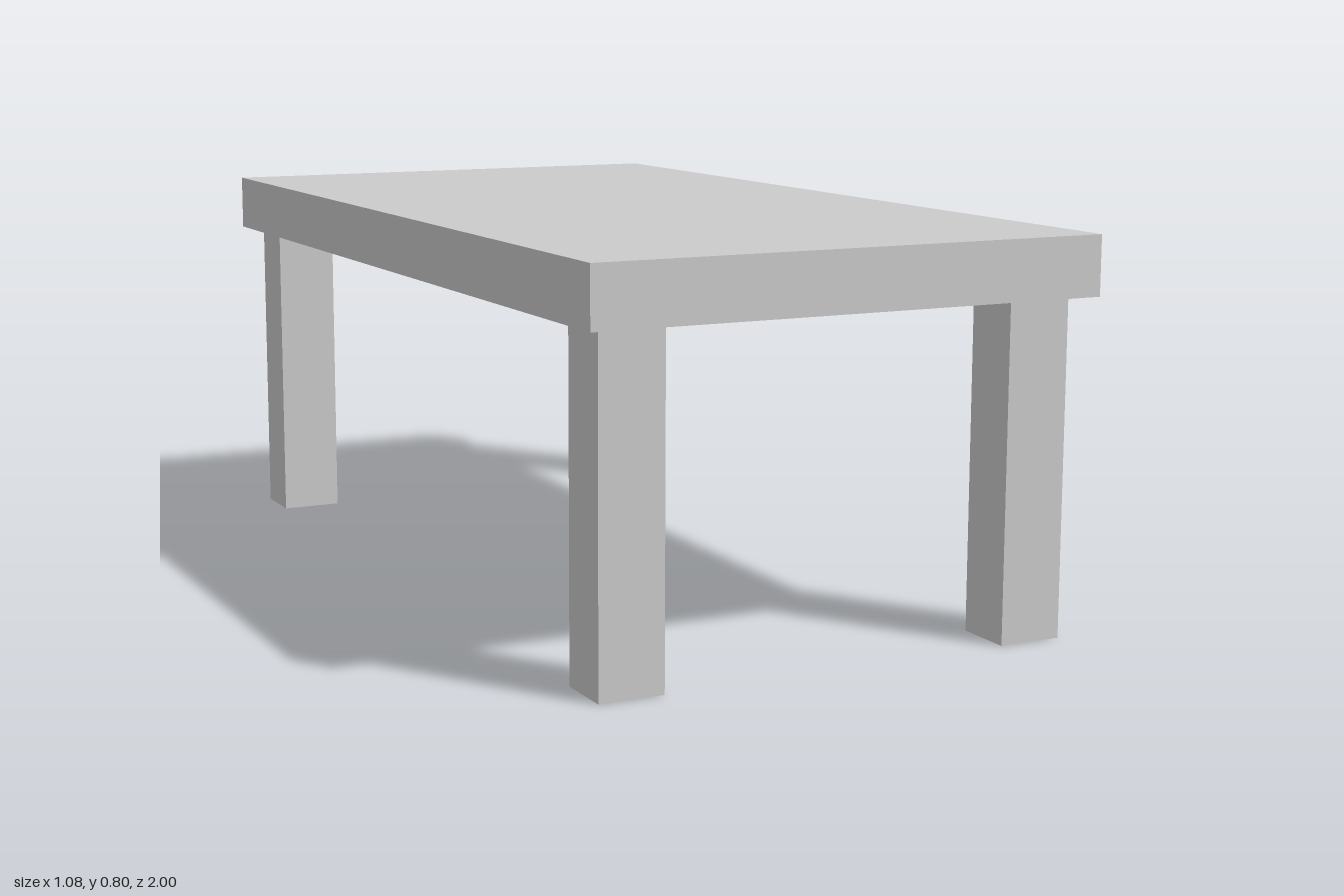
import * as THREE from 'three';

const HEIGHT = 0.8, TOP_THICKNESS = 0.12;
const LEG_HEIGHT = HEIGHT - TOP_THICKNESS;

export function createModel() {
  const table = new THREE.Group();
  table.name = 'table';
  const material = new THREE.MeshStandardMaterial({ color: 0xcccccc, flatShading: true });

  const addBox = (name, size, position) => {
    const mesh = new THREE.Mesh(new THREE.BoxGeometry(...size), material);
    mesh.name = name;
    mesh.position.set(...position);
    table.add(mesh);
  };

  // Thick rectangular slab
  addBox('tableTop', [1.076, TOP_THICKNESS, 2], [0, HEIGHT - TOP_THICKNESS / 2, 0]);

  // Four legs, set slightly in from the corners
  for (const [end, sz] of [['front', 1], ['back', -1]]) {
    for (const [side, sx] of [['Left', 1], ['Right', -1]]) {
      addBox(`${end}${side}Leg`, [0.133, LEG_HEIGHT, 0.123], [sx * 0.434, LEG_HEIGHT / 2, sz * 0.89]);
    }
  }
  return table;
}
